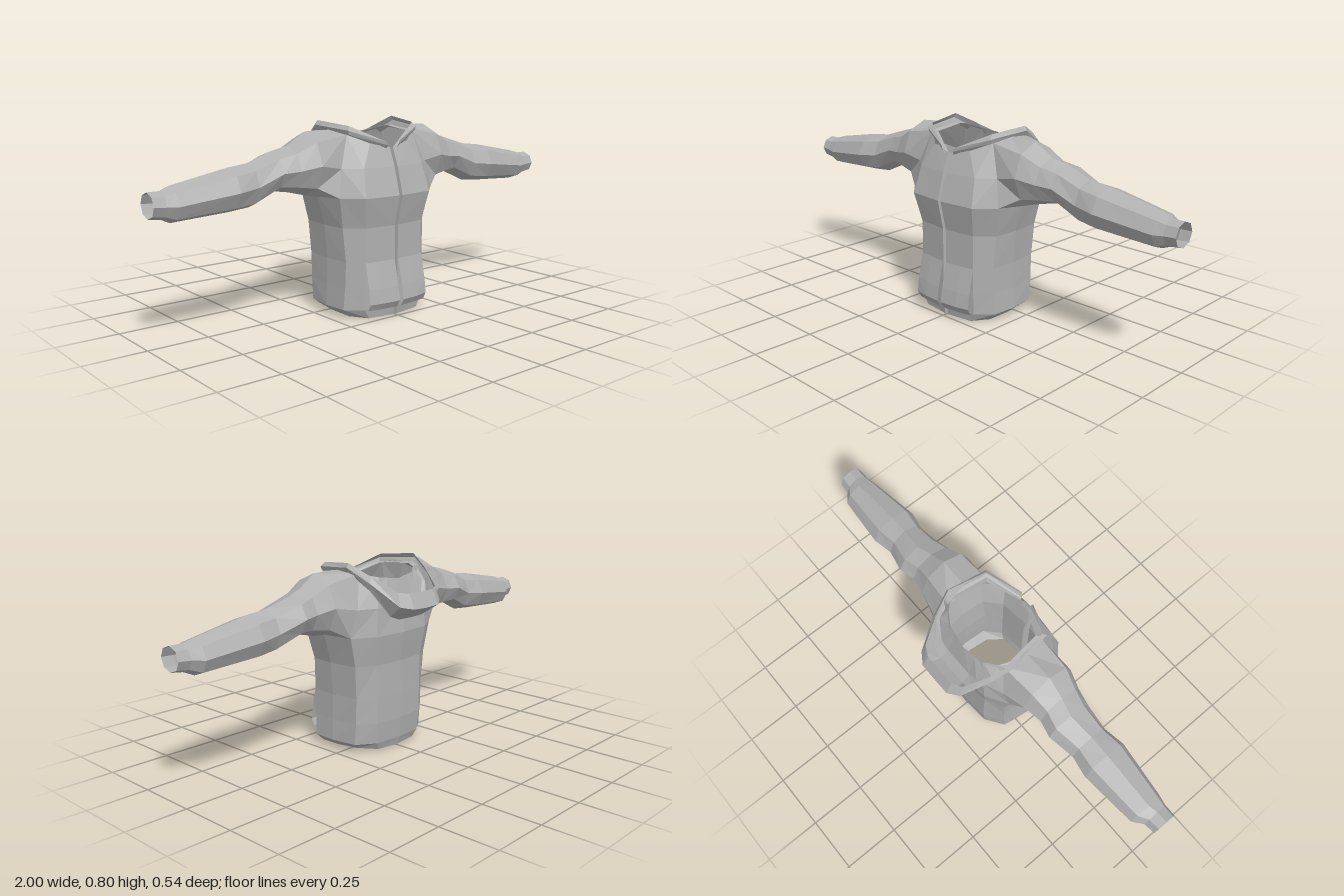
import * as THREE from 'three';

const grey = new THREE.MeshStandardMaterial({ color: 0xb0b0b0, side: THREE.DoubleSide });
grey.name = 'grey cloth';

// Faceted sheet through rows of [x, y, z] points, optionally closed around and mirrored in x
function sheet(name, rows, { closed = false, mirror = false } = {}) {
  const pos = [];
  const n = rows[0].length;
  for (let i = 0; i < rows.length - 1; i++) {
    for (let j = 0; j < (closed ? n : n - 1); j++) {
      const k = (j + 1) % n;
      const a = rows[i][j], b = rows[i][k], c = rows[i + 1][k], d = rows[i + 1][j];
      const corners = mirror ? [a, c, b, a, d, c] : [a, b, c, a, c, d];
      for (const [x, y, z] of corners) pos.push(mirror ? -x : x, y, z);
    }
  }
  const geo = new THREE.BufferGeometry();
  geo.setAttribute('position', new THREE.Float32BufferAttribute(pos, 3));
  geo.computeVertexNormals();
  const mesh = new THREE.Mesh(geo, grey);
  mesh.name = name;
  return mesh;
}

// Half ring of the body from the front opening round the side to the middle of the back
function bodyRow(y, front, [bx, bz], [cx, cz], dx, [ex, ez], [fx, fz], back) {
  return [
    [0.004, y, front - 0.025], [0.008, y, front], [bx, y, bz], [cx, y, cz],
    [dx, y, 0.05], [ex, y, ez], [fx, y, fz], [0, y, back],
  ];
}

// Eight-sided sleeve ring, starting at the lower front corner and passing under the arm
function sleeveRing([x, top, bottom, front, back]) {
  const cy = (top + bottom) / 2, cz = (front + back) / 2;
  const ring = [];
  for (let i = 0; i < 8; i++) {
    const a = (i - 1) * Math.PI / 4;
    ring.push([x, cy - Math.cos(a) * (top - bottom) / 2, cz - Math.sin(a) * (front - back) / 2]);
  }
  return ring;
}

export function createModel() {
  const jacket = new THREE.Group();
  jacket.name = 'hoodedJacket';

  // Body rings, from the turned-in hem to the armpits
  const lower = [
    bodyRow(0.005, 0.228, [0.13, 0.215], [0.18, 0.15], 0.19, [0.18, -0.055], [0.11, -0.11], -0.12),
    bodyRow(0.04, 0.235, [0.15, 0.218], [0.215, 0.157], 0.222, [0.205, -0.065], [0.125, -0.12], -0.13),
    bodyRow(0.13, 0.235, [0.15, 0.22], [0.21, 0.162], 0.218, [0.205, -0.072], [0.13, -0.128], -0.138),
    bodyRow(0.24, 0.235, [0.15, 0.22], [0.208, 0.165], 0.216, [0.205, -0.075], [0.13, -0.128], -0.138),
    bodyRow(0.38, 0.235, [0.15, 0.22], [0.218, 0.157], 0.228, [0.215, -0.08], [0.135, -0.126], -0.135),
    bodyRow(0.505, 0.262, [0.17, 0.247], [0.245, 0.175], 0.262, [0.245, -0.085], [0.15, -0.142], -0.155),
  ];
  lower[0].forEach((p, j) => { p[1] = [0, 0, 0.003, 0.006, 0.012, 0.018, 0.008, 0.005][j]; });
  const arm = lower[5];
  const chest = bodyRow(0.62, 0.23, [0.155, 0.215], [0.225, 0.16], 0.22, [0.22, -0.1], [0.14, -0.135], -0.14);
  const neck = [
    [0.004, 0.69, 0.18], [0.008, 0.695, 0.2], [0.10, 0.715, 0.185], [0.175, 0.75, 0.13],
    [0.19, 0.765, 0.04], [0.17, 0.757, -0.06], [0.10, 0.738, -0.105], [0, 0.725, -0.12],
  ];
  const upper = [arm, chest, neck];

  // Sleeve starts on the armhole, then [x, top, bottom, front, back] to the cuff
  const armhole = [arm[3], arm[4], arm[5], chest[5], neck[5], neck[4], neck[3], chest[3]];
  const sleeve = [armhole, ...[
    [0.32, 0.765, 0.51, 0.165, -0.078],
    [0.40, 0.715, 0.53, 0.14, -0.062],
    [0.47, 0.695, 0.54, 0.125, -0.078],
    [0.58, 0.66, 0.49, 0.122, -0.05],
    [0.67, 0.65, 0.482, 0.14, -0.065],
    [0.91, 0.605, 0.47, 0.115, -0.04],
    [0.95, 0.592, 0.488, 0.105, -0.008],
    [1.0, 0.592, 0.495, 0.103, -0.003],
  ].map(sleeveRing)];

  // Lowered hood: sections from the front tip to the middle of the back, rim to neckline
  const hood = [
    [[0.035, 0.72, 0.21], [0.03, 0.705, 0.21], [0.025, 0.692, 0.203], [0.022, 0.69, 0.2], [0.02, 0.695, 0.19]],
    [[0.17, 0.785, 0.135], [0.182, 0.767, 0.15], [0.177, 0.75, 0.147], [0.165, 0.745, 0.138], [0.15, 0.75, 0.12]],
    [[0.20, 0.80, -0.03], [0.21, 0.782, -0.03], [0.20, 0.762, -0.03], [0.185, 0.757, -0.03], [0.17, 0.76, -0.03]],
    [[0.167, 0.752, -0.12], [0.178, 0.722, -0.132], [0.17, 0.692, -0.122], [0.163, 0.70, -0.11], [0.15, 0.75, -0.07]],
    [[0.115, 0.692, -0.22], [0.122, 0.635, -0.24], [0.115, 0.59, -0.18], [0.11, 0.63, -0.147], [0.10, 0.735, -0.103]],
    [[0.072, 0.685, -0.243], [0.075, 0.625, -0.272], [0.07, 0.572, -0.186], [0.065, 0.61, -0.15], [0.06, 0.728, -0.114]],
    [[0, 0.683, -0.243], [0, 0.622, -0.272], [0, 0.57, -0.186], [0, 0.61, -0.15], [0, 0.725, -0.12]],
  ];

  // Front pocket flap, open at its side: [y, z at the middle, z at the edge]
  const pocket = [
    [0.042, 0.256, 0.238], [0.07, 0.272, 0.253], [0.13, 0.262, 0.246], [0.238, 0.237, 0.222],
  ].map(([y, mid, edge]) => [[0.01, y, mid], [0.09, y, mid - 0.006], [0.152, y, edge]]);

  for (const mirror of [false, true]) {
    const half = new THREE.Group();
    half.name = mirror ? 'rightHalf' : 'leftHalf';
    half.add(
      sheet('lowerBody', lower, { mirror }),
      sheet('chestPanel', upper.map((r) => r.slice(0, 4)), { mirror }),
      sheet('backPanel', upper.map((r) => r.slice(5)), { mirror }),
      sheet('sleeve', sleeve, { mirror, closed: true }),
      sheet('hood', hood, { mirror }),
      sheet('pocket', pocket, { mirror }),
    );
    jacket.add(half);
  }
  return jacket;
}
